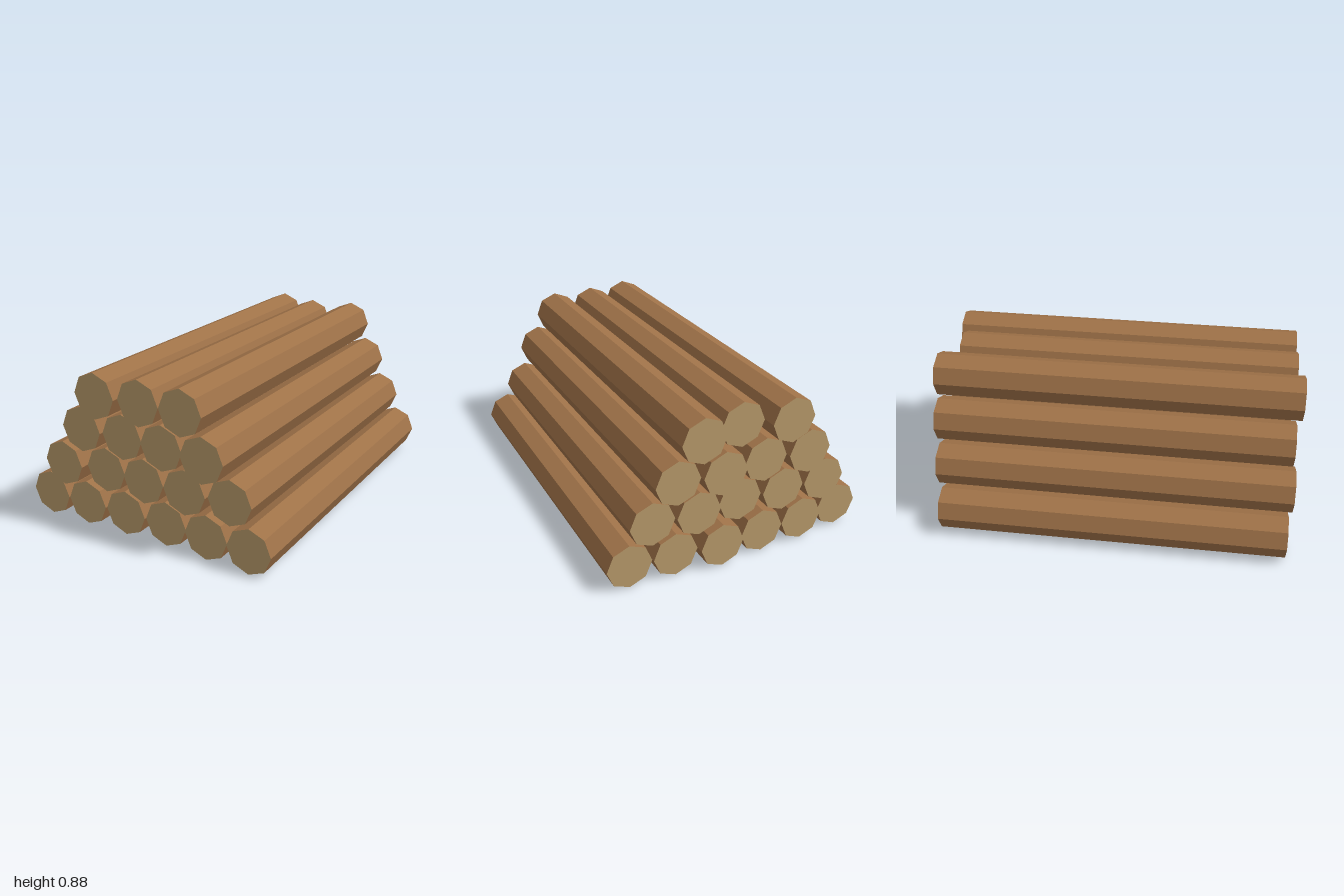
import * as THREE from 'three';

const RADIUS = 0.1235;
const SPACING = 0.2485;
const ROW_HEIGHT = 0.2125;

// Back and front z of every log, row by row from the ground, from -x to +x
const ROWS = [
  [[-0.935, 0.965], [-0.96, 0.96], [-0.96, 0.95], [-0.98, 0.94], [-0.94, 0.95], [-0.925, 0.958]],
  [[-0.962, 0.985], [-0.95, 0.94], [-0.93, 0.95], [-0.95, 0.95], [-0.93, 0.928]],
  [[-0.985, 0.97], [-0.958, 0.95], [-0.985, 0.96], [-0.958, 0.98]],
  [[-1, 1], [-0.925, 0.97], [-0.985, 0.97]],
];

export function createModel() {
  const bark = new THREE.MeshStandardMaterial({ color: 0x9f7248 });
  bark.name = 'bark';
  const cutWood = new THREE.MeshStandardMaterial({ color: 0xba9c6c });
  cutWood.name = 'cutWood';

  // Eight-sided log lying along z, with facets and pale cut ends
  function makeLog(back, front) {
    const geometry = new THREE.CylinderGeometry(RADIUS, RADIUS, front - back, 8)
      .rotateX(Math.PI / 2)
      .toNonIndexed();
    geometry.computeVertexNormals();
    const log = new THREE.Mesh(geometry, [bark, cutWood, cutWood]);
    log.position.z = (front + back) / 2;
    return log;
  }

  // Stack the rows, each one log shorter than the row below
  const pile = new THREE.Group();
  pile.name = 'logPile';
  ROWS.forEach((logs, row) => {
    const layer = new THREE.Group();
    layer.name = `logRow${row + 1}`;
    layer.position.y = RADIUS + 0.001 + row * ROW_HEIGHT;
    logs.forEach(([back, front], i) => {
      const log = makeLog(back, front);
      log.name = `log${i + 1}`;
      log.position.x = (i - (logs.length - 1) / 2) * SPACING;
      layer.add(log);
    });
    pile.add(layer);
  });
  return pile;
}
